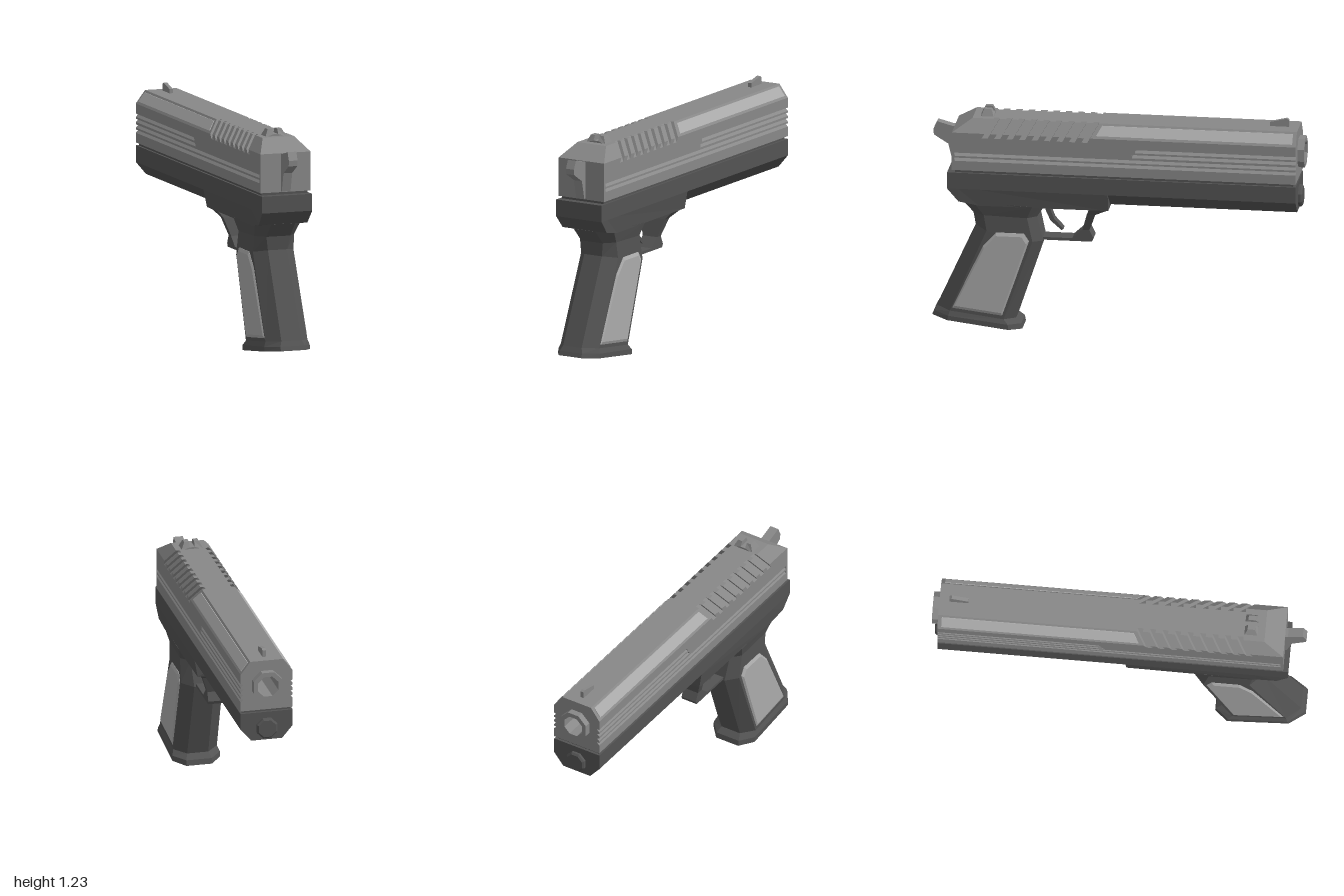
import * as THREE from 'three';

const mat = (color) => new THREE.MeshStandardMaterial({ color, flatShading: true, side: THREE.DoubleSide });

// Skin over closed rings of [x, y, z]; rings run counter-clockwise seen from the first end.
function loft(rings, capStart = true, capEnd = true) {
  const pos = [];
  const n = rings[0].length;
  const tri = (a, b, c) => pos.push(...a, ...b, ...c);
  for (let s = 0; s < rings.length - 1; s++) {
    for (let i = 0; i < n; i++) {
      const j = (i + 1) % n;
      const a = rings[s][i], b = rings[s][j], c = rings[s + 1][j], d = rings[s + 1][i];
      tri(a, d, b);
      tri(b, d, c);
    }
  }
  const last = rings[rings.length - 1];
  for (let i = 1; i < n - 1; i++) {
    if (capStart) tri(rings[0][0], rings[0][i], rings[0][i + 1]);
    if (capEnd) tri(last[0], last[i + 1], last[i]);
  }
  const g = new THREE.BufferGeometry();
  g.setAttribute('position', new THREE.Float32BufferAttribute(pos, 3));
  g.computeVertexNormals();
  return g;
}

const shapeOf = (pts) => new THREE.Shape(pts.map((p) => new THREE.Vector2(p[0], p[1])));

// Side outline of [z, y] points, extruded to the given width across x.
function sideExtrude(pts, width) {
  const g = new THREE.ExtrudeGeometry(shapeOf(pts), { depth: width, bevelEnabled: false });
  return g.translate(0, 0, -width / 2).rotateY(-Math.PI / 2);
}

const octagon = (r, cy) => Array.from({ length: 8 }, (_, i) => {
  const a = Math.PI / 8 + (i * Math.PI) / 4;
  return [r * Math.cos(a), cy + r * Math.sin(a)];
});

// Closed cross-section mirrored from its right half (bottom to top).
const mirrorRing = (half) => [...half, ...half.map(([x, y, z]) => [-x, y, z]).reverse()];

// Right half of the slide section, with optional side grooves and serration cut.
function slideHalf({ lower = false, upper = false, cut = false } = {}) {
  const groove = (y, on) => [[0.143, y], [on ? 0.128 : 0.143, y + 0.014], [0.143, y + 0.018]];
  const chamfer = cut
    ? [[0.143, 1.09], [0.124, 1.115], [0.085, 1.165], [0.07, 1.185]]
    : [[0.143, 1.09], [0.143, 1.115], [0.09, 1.185], [0.07, 1.185]];
  return [[0.143, 0.905], ...groove(0.957, lower), ...groove(0.985, lower),
    ...groove(1.015, upper), ...groove(1.043, upper), ...chamfer];
}

function buildSlide() {
  // leaning sections tilt toward the muzzle as they rise
  const section = (z, opts, lean = 0.6) => mirrorRing(slideHalf(opts)
    .map(([x, y]) => [x, y, z - lean * (Math.max(0, y - 0.99) - 0.1 * (lean ? 1 : 0) * (y > 0.99 ? 1 : 0))]));
  const rear = mirrorRing(slideHalf().map(([x, y]) => [y > 1.15 && x < 0.08 ? 0.11 : 0.143, Math.min(y, 1.115), 0.885]));
  const hip = mirrorRing(slideHalf().map(([x, y]) => [x, y, y > 1.12 ? 0.78 : 0.872]));
  const hipCut = mirrorRing(slideHalf({ lower: true }).map(([x, y]) => [x, y, y > 1.12 ? 0.779 : 0.868]));
  const rings = [rear, hip, hipCut];
  const rib = { lower: true }, slot = { lower: true, cut: true };
  for (let i = 0; i < 9; i++) {
    const z = 0.724 - i * 0.067;
    rings.push(section(z, rib), section(z, slot), section(z - 0.032, slot), section(z - 0.032, rib));
  }
  const full = { lower: true, upper: true };
  rings.push(section(-0.12, rib), section(-0.13, full), section(-0.965, full, 0));
  return loft(rings, true, false);
}

export function createModel() {
  const root = new THREE.Group();
  const steel = mat(0x888888), dark = mat(0x535353), light = mat(0xaaaaaa);
  const add = (name, geo, material, parent = root) => {
    const m = new THREE.Mesh(geo, material);
    m.name = name;
    parent.add(m);
    return m;
  };

  // Slide and its muzzle face with the barrel opening
  add('slide', buildSlide(), steel);
  const face = shapeOf(mirrorRing(slideHalf({ lower: true, upper: true })));
  const hole = octagon(0.06, 1.048);
  face.holes.push(new THREE.Path(hole.map((p) => new THREE.Vector2(...p))));
  add('muzzleFace', new THREE.ShapeGeometry(face).rotateY(Math.PI).translate(0, 0, -0.965), steel);

  // Barrel collar and bore
  const collar = shapeOf(octagon(0.086, 1.048));
  collar.holes.push(new THREE.Path(hole.map((p) => new THREE.Vector2(...p))));
  add('barrelCollar', new THREE.ExtrudeGeometry(collar, { depth: 0.04, bevelEnabled: false }).translate(0, 0, -1), steel);
  add('bore', loft([-0.65, -0.999].map((z) => hole.map(([x, y]) => [x, y, z])), true, false), steel);

  // Pale strips along the slide chamfers
  for (const s of [1, -1]) {
    const strip = (z, lean) => [[0.126, 1.128], [0.137, 1.128], [0.101, 1.175], [0.09, 1.175]]
      .map(([x, y]) => [x, y, z - lean * (y - 1.128)]);
    const g = loft([strip(0.11, 0.6), strip(-0.945, 0)]);
    const m = add(s > 0 ? 'leftSlideStrip' : 'rightSlideStrip', g, light);
    m.scale.x = s;
  }

  // Sights
  const notch = [[-0.06, 1.18], [0.06, 1.18], [0.04, 1.222], [0.014, 1.222], [0.014, 1.195],
    [-0.014, 1.195], [-0.014, 1.222], [-0.04, 1.222]];
  const sight = new THREE.ExtrudeGeometry(shapeOf(notch), { depth: 0.07, bevelEnabled: false }).translate(0, 0, 0.67);
  const sp = sight.attributes.position;
  for (let i = 0; i < sp.count; i++) {
    if (sp.getY(i) > 1.21) sp.setZ(i, 0.705 + (sp.getZ(i) - 0.705) * 0.55);
  }
  sight.computeVertexNormals();
  add('rearSight', sight, steel);
  add('frontSight', sideExtrude([[-0.81, 1.18], [-0.81, 1.208], [-0.9, 1.23], [-0.912, 1.222], [-0.912, 1.18]], 0.02), steel);

  // Hammer
  add('hammer', sideExtrude([[0.86, 1.11], [0.9, 1.113], [0.98, 1.135], [1, 1.09], [0.997, 1.06],
    [0.92, 1.012], [0.895, 0.91], [0.86, 0.91]], 0.05), steel);

  // Rail between slide and frame
  add('slideRail', new THREE.BoxGeometry(0.262, 0.03, 1.82).translate(0, 0.897, -0.04), dark);

  // Frame, with a bevelled underside ahead of the trigger guard
  const frameRing = (z, flat, bottom, shoulder) =>
    mirrorRing([[flat, bottom, z], [0.143, shoulder, z], [0.143, 0.89, z]]);
  add('frame', loft([
    frameRing(0.91, 0.143, 0.799, 0.8), frameRing(0.85, 0.139, 0.728, 0.8),
    frameRing(0.74, 0.132, 0.706, 0.8), frameRing(0.046, 0.126, 0.706, 0.8),
    frameRing(0.04, 0.085, 0.732, 0.8), frameRing(-0.965, 0.085, 0.732, 0.8),
  ]), dark);
  add('framePlug', loft([-0.95, -0.978, -0.987].map((z, i) =>
    octagon(i === 2 ? 0.05 : 0.06, 0.8).map(([x, y]) => [x, y, z]))), dark);

  // Grip: slanted octagonal sections [rearZ, rearY, frontZ, frontY, halfWidth, flatHalf]
  const grip = [
    [1.0, 0.065, 0.515, 0.005, 0.13, 0.07],
    [0.99, 0.088, 0.52, 0.035, 0.13, 0.07],
    [0.975, 0.115, 0.55, 0.062, 0.12, 0.058],
    [0.767, 0.575, 0.404, 0.5, 0.116, 0.055],
    [0.778, 0.65, 0.436, 0.64, 0.114, 0.068],
    [0.853, 0.728, 0.39, 0.708, 0.132, 0.068],
  ].map(([rz, ry, fz, fy, w, f]) => {
    const d = rz - fz;
    const at = (x, z) => [x, fy + ((ry - fy) * (z - fz)) / d, z];
    const half = [at(f, fz), at(w, fz + d * 0.14), at(w, rz - d * 0.18), at(f, rz)];
    return mirrorRing(half);
  });
  add('grip', loft(grip), dark);

  // Grip panels with bevelled edges
  const panel = [[0.89, 0.118], [0.617, 0.085], [0.473, 0.513], [0.5, 0.555], [0.65, 0.555], [0.72, 0.476]];
  const cz = 0.66, cy = 0.33;
  const panelRing = (x, k) => panel.map(([z, y]) => [x, cy + (y - cy) * k, cz + (z - cz) * k]);
  for (const s of [1, -1]) {
    const g = loft([panelRing(0.1, 1), panelRing(0.118, 1), panelRing(0.126, 0.92)]);
    add(s > 0 ? 'leftGripPanel' : 'rightGripPanel', g, light).scale.x = s;
  }

  // Trigger guard, flaring wider toward the frame
  const guard = sideExtrude([[0.045, 0.715], [0.047, 0.705], [0.125, 0.663], [0.158, 0.567], [0.136, 0.52],
    [0.145, 0.502], [0.43, 0.502], [0.42, 0.517], [0.25, 0.517], [0.195, 0.567], [0.168, 0.663], [0.147, 0.715]], 1);
  const gp = guard.attributes.position;
  for (let i = 0; i < gp.count; i++) {
    const t = Math.max(0, (gp.getY(i) - 0.56) / 0.155);
    gp.setX(i, gp.getX(i) * (0.09 + 0.15 * t * t));
  }
  guard.computeVertexNormals();
  add('triggerGuard', guard, dark);

  // Trigger
  add('trigger', sideExtrude([[0.4, 0.715], [0.395, 0.66], [0.37, 0.605], [0.31, 0.553], [0.3, 0.56],
    [0.35, 0.615], [0.368, 0.66], [0.372, 0.715]], 0.05), dark);

  return root;
}
